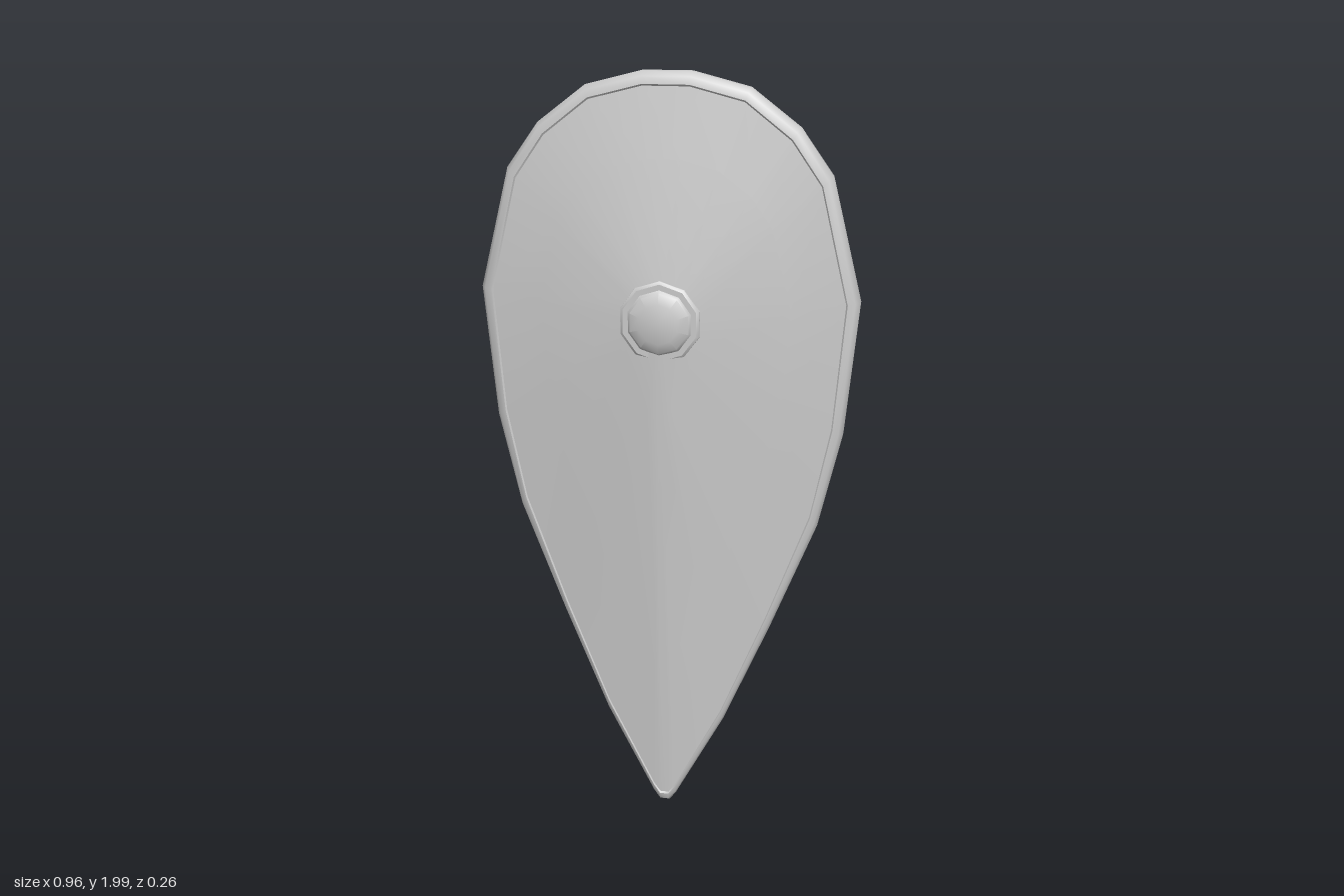
import * as THREE from 'three';
import { toCreasedNormals } from 'three/addons/utils/BufferGeometryUtils.js';

const material = new THREE.MeshStandardMaterial({ color: 0xcccccc });
const centre = new THREE.Vector2(0, 1.4);

// Right half of the teardrop outline, from the crown down to the tip.
const half = [
  [0.06, 1.995], [0.2, 1.96], [0.32, 1.87], [0.4, 1.76], [0.478, 1.46], [0.45, 1.12],
  [0.395, 0.87], [0.28, 0.57], [0.16, 0.28], [0.03, 0.03], [0.012, 0.005],
];
const outline = [...half, ...half.slice().reverse().map(([x, y]) => [-x, y])]
  .map(([x, y]) => new THREE.Vector2(x, y));

function mesh(name, geometry, crease = 0.5) {
  const m = new THREE.Mesh(toCreasedNormals(geometry, crease), material);
  m.name = name;
  return m;
}

// The tip curves slightly forward.
const tipShift = (y) => 0.022 * Math.max(0, 1 - y / 0.9);

// Skins a list of rings; each ring is the outline drawn in by d at depth z,
// or shrunk by a scale about the centre.
function loftRings(rings) {
  const n = outline.length, pos = [], index = [];
  for (const { d, z, s = 1 } of rings) {
    for (const p of outline) {
      const v = p.clone().sub(centre);
      v.setLength((v.length() - d) * s).add(centre);
      pos.push(v.x, v.y, z + tipShift(p.y) * s);
    }
  }
  for (let r = 0; r < rings.length - 1; r++) {
    for (let i = 0; i < n; i++) {
      const j = (i + 1) % n, a = r * n + i, b = r * n + j, c = a + n, e = b + n;
      index.push(a, b, c, b, e, c);
    }
  }
  const g = new THREE.BufferGeometry();
  g.setAttribute('position', new THREE.Float32BufferAttribute(pos, 3));
  g.setIndex(index);
  return g;
}

// Depth of the hollow back surface.
function dishZ(x, y) {
  const dy = y - centre.y;
  return 0.085 - 0.175 * Math.hypot(x, dy * (dy > 0 ? 0.77 : 0.25));
}

// Bends a box into a flat band between two feet; profile gives [fraction, depth].
function strap(name, from, to, profile, width = 0.036, thick = 0.009) {
  const a = new THREE.Vector2(...from), b = new THREE.Vector2(...to);
  const path = profile.map(([u, z], i) => {
    const p = a.clone().lerp(b, u);
    const foot = i === 0 || i === profile.length - 1;
    return new THREE.Vector3(p.x, p.y, foot ? dishZ(p.x, p.y) - 0.01 : z);
  });
  const n = path.length - 1;
  const dir = b.clone().sub(a).normalize();
  const side = new THREE.Vector3(-dir.y, dir.x, 0);
  const g = new THREE.BoxGeometry(1, 1, 1, 1, 1, n);
  const pos = g.attributes.position;
  for (let k = 0; k < pos.count; k++) {
    const i = Math.round((pos.getZ(k) + 0.5) * n);
    const tangent = path[Math.min(i + 1, n)].clone().sub(path[Math.max(i - 1, 0)]).normalize();
    const normal = tangent.clone().cross(side);
    const v = path[i].clone()
      .addScaledVector(side, pos.getX(k) * width)
      .addScaledVector(normal, pos.getY(k) * thick);
    pos.setXYZ(k, v.x, v.y, v.z);
  }
  return mesh(name, g, 0.9);
}

export function createModel() {
  const group = new THREE.Group();
  group.name = 'shield';

  // Rounded rim around the edge, from the face round to the back
  group.add(mesh('rim', loftRings([
    { d: 0.036, z: 0.026 }, { d: 0.03, z: 0.031 }, { d: 0.012, z: 0.027 }, { d: 0, z: 0.01 },
    { d: 0, z: -0.006 }, { d: 0.015, z: -0.021 }, { d: 0.04, z: -0.02 }, { d: 0.045, z: 0.008 },
  ]), 0.9));

  // Shallow cone-like face and the hollow behind it
  group.add(mesh('frontFace', loftRings([
    { d: 0.03, z: 0.114, s: 0.001 }, { d: 0.03, z: 0.102, s: 0.2 },
    { d: 0.03, z: 0.055, s: 0.7 }, { d: 0.03, z: 0.027 },
  ])));
  group.add(mesh('backFace', loftRings([
    { d: 0.042, z: 0.008 }, { d: 0.042, z: 0.046, s: 0.5 }, { d: 0.042, z: 0.085, s: 0.001 },
  ])));

  // Faceted boss with a low collar
  const profile = [[0.105, 0.09], [0.103, 0.104], [0.096, 0.109], [0.082, 0.109],
    [0.076, 0.116], [0.05, 0.126], [0, 0.129]].map(([r, z]) => new THREE.Vector2(r, z));
  const boss = mesh('boss', new THREE.LatheGeometry(profile, 10), 0.6);
  boss.rotation.x = Math.PI / 2;
  boss.position.y = 1.41;
  group.add(boss);

  // Arm pad lying in the hollow, a little taller on one side
  const pad = new THREE.BoxGeometry(1, 1, 1, 8, 6, 1);
  const pos = pad.attributes.position;
  for (let k = 0; k < pos.count; k++) {
    const x = -0.065 + pos.getX(k) * 0.585;
    const y = 1.4 + pos.getY(k) * (0.46 - x * 0.2);
    pos.setXYZ(k, x, y, dishZ(x, y) - 0.004 + pos.getZ(k) * 0.014);
  }
  group.add(mesh('armPad', pad));

  // Upright hand grip and two slanted forearm straps
  group.add(strap('handGrip', [0.188, 1.59], [0.188, 1.2],
    [[0, 0], [0.02, 0], [0.1, -0.06], [0.27, -0.108], [0.5, -0.118], [0.7, -0.105], [0.9, -0.05], [0.98, 0], [1, 0]]));
  group.add(strap('upperArmStrap', [-0.235, 1.655], [-0.365, 1.355],
    [[0, 0], [0.02, -0.02], [0.1, -0.08], [0.28, -0.113], [0.5, -0.11], [0.77, -0.075], [0.97, -0.02], [1, 0]]));
  group.add(strap('lowerArmStrap', [-0.235, 1.46], [-0.365, 1.15],
    [[0, 0], [0.02, -0.02], [0.12, -0.08], [0.3, -0.125], [0.45, -0.126], [0.72, -0.09], [0.97, -0.03], [1, 0]]));

  return group;
}
